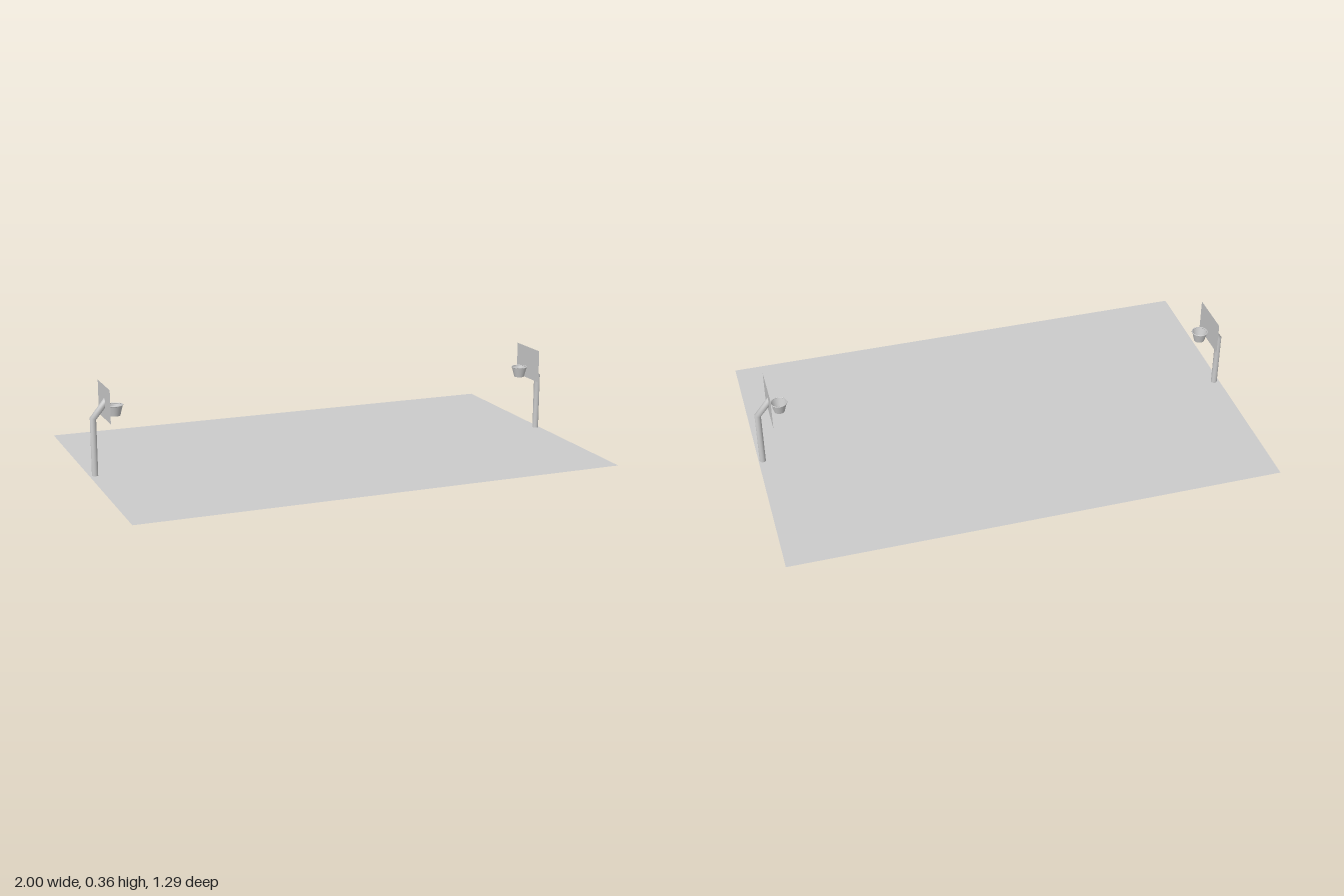
import * as THREE from 'three';

const material = new THREE.MeshStandardMaterial({ color: 0xcccccc, side: THREE.DoubleSide });

function part(name, geometry, parent) {
  const mesh = new THREE.Mesh(geometry, material);
  mesh.name = name;
  parent.add(mesh);
  return mesh;
}

// Round post with a mitred bend, its upper end cut flush with the backboard
function postGeometry() {
  const radius = 0.0125, bendY = 0.23, reach = 0.047, rise = 0.058;
  const mitre = Math.tan(Math.atan2(reach, rise) / 2);
  const geometry = new THREE.CylinderGeometry(radius, radius, 2, 16, 2, true);
  const p = geometry.attributes.position;
  for (let i = 0; i < p.count; i++) {
    const c = p.getX(i);
    const ring = Math.round(p.getY(i)) + 1;
    if (ring === 0) p.setY(i, 0);
    if (ring === 1) p.setY(i, bendY - c * mitre);
    if (ring === 2) p.setXYZ(i, reach, bendY + rise - c * 1.7, p.getZ(i));
  }
  geometry.computeVertexNormals();
  // Average the normals along the seam where the tube closes
  const n = geometry.attributes.normal;
  for (let ring = 0; ring < 3; ring++) {
    const a = ring * 17, b = a + 16;
    const v = new THREE.Vector3().fromBufferAttribute(n, a)
      .add(new THREE.Vector3().fromBufferAttribute(n, b)).normalize();
    n.setXYZ(a, v.x, v.y, v.z);
    n.setXYZ(b, v.x, v.y, v.z);
  }
  return geometry;
}

// One basket stand, facing +x, with its post at the local origin
function createStand(name) {
  const stand = new THREE.Group();
  stand.name = name;
  part('post', postGeometry(), stand);

  const board = part('backboard', new THREE.PlaneGeometry(0.19, 0.136), stand);
  board.rotation.y = Math.PI / 2;
  board.position.set(0.047, 0.293, 0);

  const rim = part('rim', new THREE.TorusGeometry(0.032, 0.002, 8, 24), stand);
  rim.rotation.x = Math.PI / 2;
  rim.position.set(0.088, 0.277, 0);

  // Open tapered net
  const net = part('net', new THREE.CylinderGeometry(0.032, 0.021, 0.042, 24, 1, true), stand);
  net.position.set(0.088, 0.256, 0);
  return stand;
}

export function createModel() {
  const model = new THREE.Group();
  model.name = 'basketballCourt';

  const court = part('court', new THREE.PlaneGeometry(2, 1.29), model);
  court.rotation.x = -Math.PI / 2;

  // A stand at each end, facing the middle
  const right = createStand('rightStand');
  right.position.x = -0.977;
  const left = createStand('leftStand');
  left.position.x = 0.983;
  left.rotation.y = Math.PI;
  model.add(right, left);
  return model;
}
